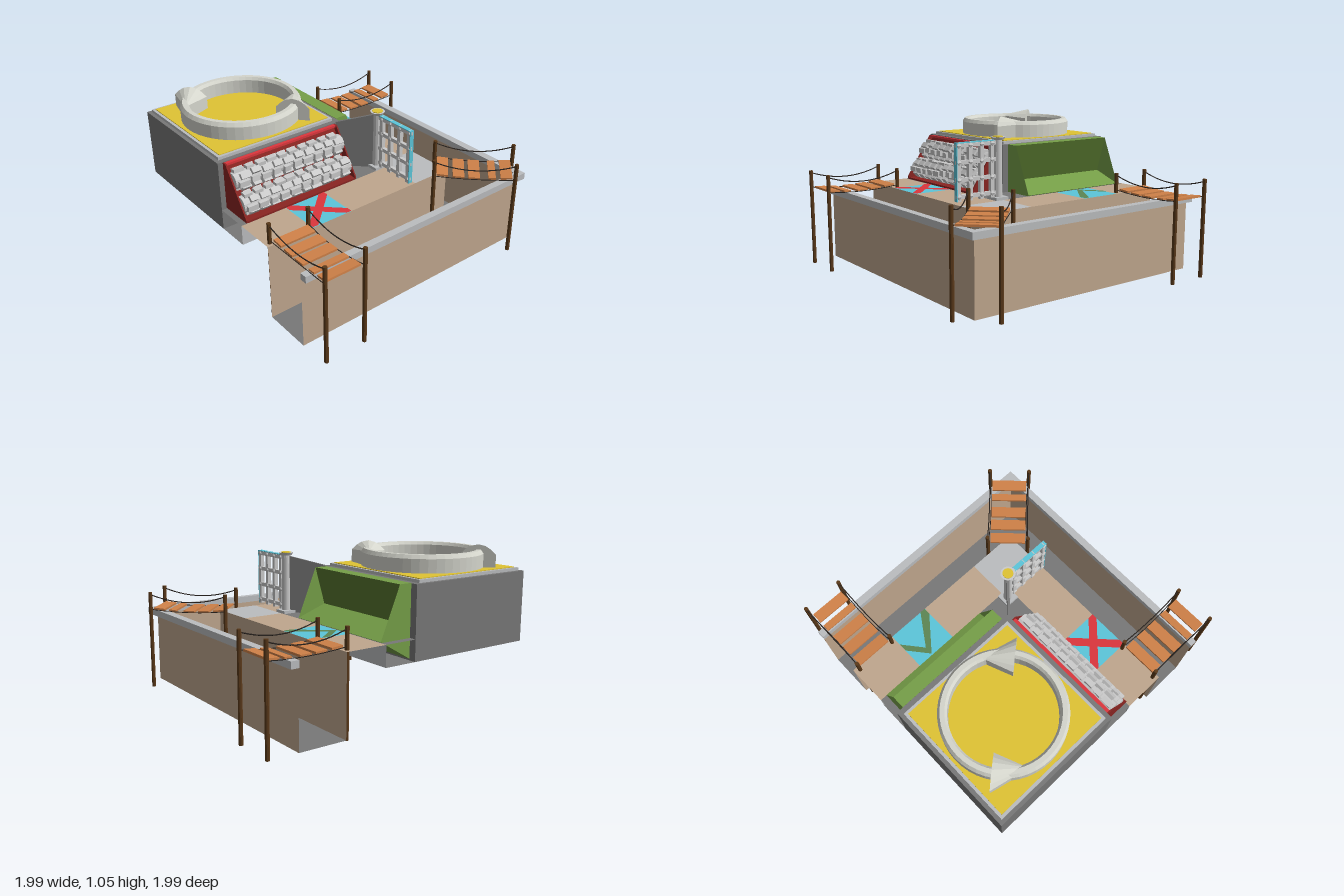
import * as THREE from 'three';
import { ConvexGeometry } from 'three/addons/geometries/ConvexGeometry.js';

const mat = (color) => new THREE.MeshStandardMaterial({ color, side: THREE.DoubleSide, flatShading: true });
const M = {
  tan: mat(0xc0a78e), dark: mat(0x787878), light: mat(0xbbbdbf), grey: mat(0xcccccc), yellow: mat(0xe0c434),
  green: mat(0x769f48), deepGreen: mat(0x5a7a30), olive: mat(0x5d8654), wood: mat(0xcf8148), post: mat(0x5a391a),
  rope: mat(0x2c2622), blue: mat(0x5cc6da), red: mat(0xdc363c), darkRed: mat(0x8a2522), ring: mat(0xd4d5cc),
};

function add(parent, name, geo, material, x = 0, y = 0, z = 0) {
  const m = new THREE.Mesh(geo, material);
  m.name = name;
  m.position.set(x, y, z);
  parent.add(m);
  return m;
}
// box given by its limits on each axis
const box = (p, name, m, x0, x1, y0, y1, z0, z1) =>
  add(p, name, new THREE.BoxGeometry(x1 - x0, y1 - y0, z1 - z0), m, (x0 + x1) / 2, (y0 + y1) / 2, (z0 + z1) / 2);
// flat horizontal tile
const tile = (p, name, m, x0, x1, z0, z1, y) =>
  add(p, name, new THREE.PlaneGeometry(x1 - x0, z1 - z0).rotateX(-Math.PI / 2), m, (x0 + x1) / 2, y, (z0 + z1) / 2);
// thin surface from polygons, each a fan of corners
function sheet(p, name, m, polys) {
  const pos = [];
  for (const q of polys) for (let i = 1; i < q.length - 1; i++) pos.push(...q[0], ...q[i], ...q[i + 1]);
  const g = new THREE.BufferGeometry();
  g.setAttribute('position', new THREE.Float32BufferAttribute(pos, 3));
  g.computeVertexNormals();
  return add(p, name, g, m);
}
// upright thin wall between two [x, z] points
const wall = (p, name, m, a, b, y0, y1) =>
  sheet(p, name, m, [[[a[0], y0, a[1]], [b[0], y0, b[1]], [b[0], y1, b[1]], [a[0], y1, a[1]]]]);
function group(parent, name) {
  const g = new THREE.Group();
  g.name = name;
  parent.add(g);
  return g;
}
// shape drawn on the ground plane from [x, z] points
function flatShape(p, name, m, pts, y) {
  const g = new THREE.ShapeGeometry(new THREE.Shape(pts.map(([x, z]) => new THREE.Vector2(x, -z)))).rotateX(-Math.PI / 2);
  return add(p, name, g, m, 0, y, 0);
}

function moat(root) {
  const g = group(root, 'moat');
  tile(g, 'moatFloorSide', M.dark, 0.47, 0.8, -1, 0.8, 0.015);
  tile(g, 'moatFloorFront', M.dark, -1, 0.47, 0.47, 0.8, 0.015);
  wall(g, 'outerWallFront', M.tan, [-1, 0.8], [0.8, 0.8], 0.015, 0.5);
  wall(g, 'outerWallSide', M.tan, [0.8, 0.8], [0.8, -1], 0.015, 0.5);
  wall(g, 'innerWallFront', M.tan, [-1, 0.47], [0.47, 0.47], 0.015, 0.54);
  wall(g, 'innerWallSide', M.tan, [0.47, 0.47], [0.47, -1], 0.015, 0.54);
  box(g, 'rimFront', M.light, -1, 0.85, 0.5, 0.545, 0.795, 0.845);
  box(g, 'rimSide', M.light, 0.795, 0.85, 0.5, 0.545, -1, 0.795);
}

function paths(root) {
  const g = group(root, 'paths'), y = 0.54;
  tile(g, 'pathFrontLeft', M.tan, -1, -0.67, 0.18, 0.47, y);
  tile(g, 'pathFrontRight', M.tan, -0.37, 0.18, 0.18, 0.47, y);
  tile(g, 'crossTile', M.blue, -0.67, -0.37, 0.18, 0.47, y);
  tile(g, 'cornerTile', M.light, 0.18, 0.47, 0.12, 0.47, y);
  tile(g, 'pathSideNear', M.tan, 0.18, 0.47, -0.35, 0.12, y);
  tile(g, 'chevronTile', M.blue, 0.18, 0.47, -0.65, -0.35, y);
  tile(g, 'pathSideFar', M.tan, 0.18, 0.47, -1, -0.65, y);
  // diagonal cross, clipped to its tile
  const x0 = -0.67, x1 = -0.37, z0 = 0.18, z1 = 0.47, w = 0.04;
  flatShape(g, 'crossBarA', M.red, [[x0, z0], [x0 + w, z0], [x1, z1 - w], [x1, z1], [x1 - w, z1], [x0, z0 + w]], 0.543);
  flatShape(g, 'crossBarB', M.red, [[x1, z0], [x1, z0 + w], [x0 + w, z1], [x0, z1], [x0, z1 - w], [x1 - w, z0]], 0.544);
  flatShape(g, 'chevron', M.olive, [[0.19, -0.535], [0.33, -0.65], [0.39, -0.65], [0.25, -0.535], [0.47, -0.39], [0.47, -0.352], [0.42, -0.352]], 0.543);
}

function tower(root) {
  const g = group(root, 'tower'), low = 0.4;
  box(g, 'block', M.dark, -1, -0.05, low, 0.875, -1, -0.05);
  // hollow ledge around the two inner sides, open at its ends
  tile(g, 'ledgeTopFront', M.dark, -1, 0.18, -0.05, 0.18, 0.54);
  tile(g, 'ledgeTopSide', M.dark, -0.05, 0.18, -1, -0.05, 0.54);
  tile(g, 'ledgeBottomFront', M.dark, -1, 0.18, -0.05, 0.18, low);
  tile(g, 'ledgeBottomSide', M.dark, -0.05, 0.18, -1, -0.05, low);
  wall(g, 'ledgeWallFront', M.light, [-1, 0.18], [0.18, 0.18], low, 0.54);
  wall(g, 'ledgeWallSide', M.light, [0.18, 0.18], [0.18, -1], low, 0.54);
  box(g, 'topFrame', M.light, -0.975, -0.09, 0.875, 0.895, -0.975, -0.085);
  box(g, 'topPanel', M.yellow, -0.955, -0.11, 0.89, 0.9, -0.955, -0.105);
  // chamfered ring with two arrowheads
  const spin = group(g, 'arrowRing');
  spin.position.set(-0.525, 0, -0.53);
  const prof = [[0.345, 0.9], [0.407, 0.9], [0.407, 0.99], [0.39, 1.015], [0.36, 1.015], [0.345, 0.995], [0.345, 0.9]];
  add(spin, 'ring', new THREE.LatheGeometry(prof.map((p) => new THREE.Vector2(...p)), 48), M.ring);
  const plan = [[-0.29, -0.39], [-0.14, -0.215], [-0.35, -0.13]];
  const pts = plan.flatMap(([x, z], i) => [0.9, i === 2 ? 1.0 : 0.985].map((y) => new THREE.Vector3(x, y, z)));
  // arched top along the arrowhead's rear edge
  for (const t of [0.15, 0.3, 0.5, 0.7, 0.85])
    pts.push(new THREE.Vector3(-0.29 + 0.15 * t, 1.05 - 0.26 * (t - 0.5) ** 2, -0.39 + 0.175 * t));
  for (const a of [0, Math.PI]) add(spin, 'arrowhead', new ConvexGeometry(pts), M.ring).rotation.y = a;
}

function rollers(root) {
  const g = group(root, 'rollerRack');
  const tri = new THREE.Shape([[0.05, 0.545], [0.05, 0.87], [0.02, 0.87], [-0.182, 0.565], [-0.182, 0.545]].map((p) => new THREE.Vector2(...p)));
  const end = new THREE.ExtrudeGeometry(tri, { depth: 0.01, bevelEnabled: false }).rotateY(Math.PI / 2);
  for (const x of [-0.965, -0.107]) add(g, 'rackEnd', end, M.darkRed, x);
  box(g, 'rackTop', M.red, -0.955, -0.107, 0.855, 0.87, -0.05, -0.025);
  box(g, 'rackBottom', M.darkRed, -0.955, -0.107, 0.542, 0.555, -0.05, 0.182);
  sheet(g, 'rackBack', M.darkRed, [[[-0.955, 0.86, -0.045], [-0.107, 0.86, -0.045], [-0.107, 0.555, 0.1], [-0.955, 0.555, 0.1]]]);
  let seed = 7;
  const rnd = () => (seed = (seed * 16807) % 2147483647) / 2147483647;
  // two drums studded with staggered blocks
  for (const [y, z] of [[0.765, 0.02], [0.632, 0.1]]) {
    const drum = group(g, 'roller');
    drum.position.set(-0.531, y, z);
    add(drum, 'drum', new THREE.CylinderGeometry(0.055, 0.055, 0.84, 14).rotateZ(Math.PI / 2), M.grey);
    for (let r = 0; r < 8; r++)
      for (let i = 0; i < 10; i++) {
        const stud = group(drum, 'stud');
        stud.rotation.x = (r / 8) * Math.PI * 2 + (rnd() - 0.5) * 0.25;
        const w = 0.045 + rnd() * 0.03;
        add(stud, 'studBlock', new THREE.BoxGeometry(w, 0.026, 0.038), M.grey, -0.37 + i * 0.08 + (r % 2) * 0.02, 0.062, 0);
      }
  }
}

// bin with a recess opening towards the side path and a keel below path level
function hopper(root) {
  const g = group(root, 'hopper'), z0 = -0.95, z1 = -0.095;
  const at = (z) => [[-0.05, 0.41, z], [0.18, 0.545, z], [-0.035, 0.62, z], [0.04, 0.877, z], [-0.05, 0.877, z]];
  const [a, b] = [at(z0), at(z1)];
  sheet(g, 'hopperTop', M.green, [[a[4], b[4], b[3], a[3]]]);
  sheet(g, 'hopperFloor', M.green, [[a[2], b[2], b[1], a[1]]]);
  sheet(g, 'hopperKeel', M.green, [[a[0], a[1], b[1], b[0]]]);
  sheet(g, 'hopperBack', M.deepGreen, [[a[3], b[3], b[2], a[2]]]);
  sheet(g, 'hopperEnds', M.green, [a, b].map((e) => [e[0], e[1], e[3], e[4]]));
}

function gate(root) {
  const g = group(root, 'gate');
  // slanted screen joining the tower to the gate post
  const s = [[-0.08, -0.06], [0.12, 0.12]];
  const face = (d) => [[0, 0.54], [1, 0.54], [1, 0.94], [0, 0.875]].map(([i, y]) => [s[i][0] + d, y, s[i][1] - d]);
  const [f, k] = [face(0.006), face(-0.006)];
  sheet(g, 'screen', M.dark, [f, [...k].reverse(), ...[0, 1, 2, 3].map((i) => [f[i], k[i], k[(i + 1) % 4], f[(i + 1) % 4]])]);
  box(g, 'postFoot', M.light, 0.08, 0.18, 0.54, 0.56, 0.08, 0.18);
  add(g, 'gatePost', new THREE.CylinderGeometry(0.027, 0.03, 0.39, 12), M.grey, 0.13, 0.755, 0.13);
  add(g, 'postCap', new THREE.CylinderGeometry(0.05, 0.04, 0.018, 16), M.grey, 0.13, 0.953, 0.13);
  add(g, 'capDisc', new THREE.CylinderGeometry(0.036, 0.036, 0.006, 16), M.yellow, 0.13, 0.963, 0.13);
  // lattice with joints, edged in a bright strip
  const zs = [0.185, 0.27, 0.36, 0.452], ys = [0.59, 0.7, 0.815, 0.925];
  for (const z of zs) box(g, 'latticeUpright', M.grey, 0.116, 0.144, 0.56, 0.94, z - 0.014, z + 0.014);
  for (const y of ys) {
    box(g, 'latticeRail', M.grey, 0.118, 0.142, y - 0.013, y + 0.013, 0.15, 0.46);
    for (const z of zs) add(g, 'joint', new THREE.IcosahedronGeometry(0.025, 0), M.grey, 0.13, y, z);
  }
  box(g, 'edgeStrip', M.blue, 0.114, 0.146, 0.56, 0.945, 0.466, 0.471);
  box(g, 'topStrip', M.blue, 0.114, 0.146, 0.94, 0.945, 0.165, 0.466);
}

function bridge(root, name, x, z, angle) {
  const g = group(root, name);
  g.position.set(x, 0, z);
  g.rotation.y = angle;
  // planks sag gently towards the middle
  [-0.215, -0.105, 0, 0.12, 0.215].forEach((pz, i) => {
    const plank = add(g, 'plank', new THREE.BoxGeometry(0.25, 0.014, i === 3 ? 0.05 : 0.078), M.wood, 0, 0.547 + pz * pz * 0.25, pz);
    plank.rotation.x = -pz * 0.4;
  });
  for (const s of [-1, 1]) {
    for (const e of [-1, 1]) add(g, 'bridgePost', new THREE.CylinderGeometry(0.014, 0.014, 0.68, 8), M.post, s * 0.142, 0.34, e * 0.27);
    const rope = (n, y, dip, r, px) => {
      const c = new THREE.QuadraticBezierCurve3(
        new THREE.Vector3(s * 0.142, y, -0.27), new THREE.Vector3(s * px, y - dip * 2, 0), new THREE.Vector3(s * 0.142, y, 0.27));
      add(g, n, new THREE.TubeGeometry(c, 14, r, 5), M.rope);
    };
    rope('handRope', 0.665, 0.05, 0.004, 0.135);
    rope('deckRope', 0.56, 0.018, 0.003, 0.115);
  }
}

export function createModel() {
  const root = new THREE.Group();
  root.name = 'fortress';
  moat(root);
  paths(root);
  tower(root);
  rollers(root);
  hopper(root);
  gate(root);
  bridge(root, 'bridgeFront', -0.825, 0.71, 0);
  bridge(root, 'bridgeBack', 0.71, -0.82, Math.PI / 2);
  bridge(root, 'bridgeCorner', 0.61, 0.595, Math.PI / 4);
  return root;
}
